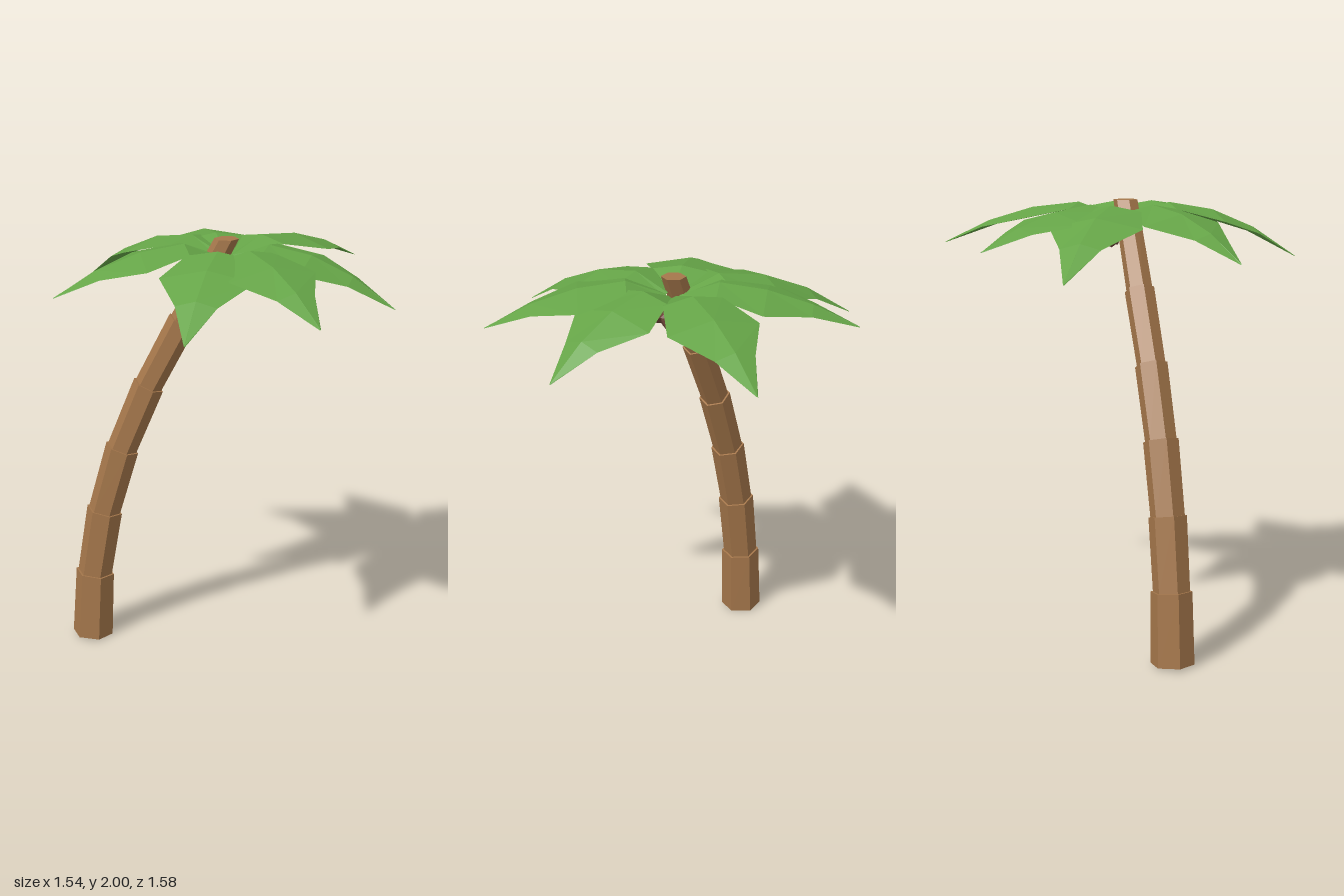
import * as THREE from 'three';

const bark = new THREE.MeshStandardMaterial({ color: 0xa5774b, flatShading: true });
bark.name = 'bark brown';
const green = new THREE.MeshStandardMaterial({ color: 0x65a447, flatShading: true, side: THREE.DoubleSide });
green.name = 'leaf green';
const husk = new THREE.MeshStandardMaterial({ color: 0x6e4538, flatShading: true });
husk.name = 'coconut brown';

const HUB_Z = -0.035;

// One six-sided trunk piece between two tilted rings { x, y, tilt, r }
function trunkPiece(low, high) {
  const geo = new THREE.CylinderGeometry(1, 1, 1, 6, 1, false, Math.PI / 2);
  const p = geo.attributes.position;
  for (let i = 0; i < p.count; i++) {
    const ring = p.getY(i) < 0 ? low : high;
    const px = p.getX(i) * ring.r;
    p.setXYZ(i,
      ring.x + px * Math.cos(ring.tilt),
      ring.y - px * Math.sin(ring.tilt),
      HUB_Z + p.getZ(i) * ring.r);
  }
  geo.computeVertexNormals();
  return new THREE.Mesh(geo, bark);
}

// Leaf stations: fraction of length, half width, midrib fall, edge drop
const STATIONS = [
  [0.25, 0.14, 0, 0.025],
  [0.505, 0.212, 0.14, 0.045],
  [0.75, 0.092, 0.47, 0.025],
  [1, 0.002, 1, 0.003],
];

// A ridged leaf that rises from the hub and droops to its tip
function leaf(tipX, tipY, tipZ) {
  const len = Math.hypot(tipX, tipZ - HUB_Z);
  const ux = tipX / len, uz = (tipZ - HUB_Z) / len;
  const point = (along, side, y) => [ux * along - uz * side, y, HUB_Z + uz * along + ux * side];
  const section = (along, half, y, drop) => [
    point(along, -half, y - drop), point(along, 0, y), point(along, half, y - drop)];
  const crown = 1.985;
  const rows = [section(0.03, 0.025, 1.92, 0.01)];
  for (const [t, half, fall, drop] of STATIONS) {
    rows.push(section(t * len, half, crown - (crown - tipY) * fall, drop));
  }
  const verts = [];
  for (let i = 0; i < rows.length - 1; i++) {
    for (let j = 0; j < 2; j++) {
      const a = rows[i][j], b = rows[i][j + 1], c = rows[i + 1][j + 1], d = rows[i + 1][j];
      verts.push(...a, ...b, ...c, ...a, ...c, ...d);
    }
  }
  const geo = new THREE.BufferGeometry();
  geo.setAttribute('position', new THREE.Float32BufferAttribute(verts, 3));
  geo.computeVertexNormals();
  return new THREE.Mesh(geo, green);
}

export function createModel() {
  const model = new THREE.Group();
  model.name = 'palmTree';

  // Trunk: x, y, tilt, radius of the top of the piece below, radius of the bottom of the piece above
  const trunk = new THREE.Group();
  trunk.name = 'trunk';
  const joints = [
    [-0.672, 0.008, 0.06, 0.098, 0.098],
    [-0.653, 0.333, 0.12, 0.093, 0.083],
    [-0.598, 0.658, 0.22, 0.086, 0.077],
    [-0.505, 0.978, 0.33, 0.08, 0.071],
    [-0.373, 1.295, 0.43, 0.074, 0.065],
    [-0.208, 1.61, 0.47, 0.068, 0.06],
    [-0.005, 2.0, 0, 0.056, 0.056],
  ];
  for (let i = 0; i < joints.length - 1; i++) {
    const [x0, y0, t0, , r0] = joints[i];
    const [x1, y1, t1, r1] = joints[i + 1];
    const piece = trunkPiece({ x: x0, y: y0, tilt: t0, r: r0 }, { x: x1, y: y1, tilt: t1, r: r1 });
    piece.name = `trunkSegment${i + 1}`;
    trunk.add(piece);
  }
  model.add(trunk);

  // Leaves, given by their tips
  const leaves = new THREE.Group();
  leaves.name = 'leaves';
  const tips = [
    [-0.34, 1.81, -0.79], [0.515, 1.785, -0.76], [0.765, 1.735, 0.09], [0.49, 1.78, 0.645],
    [-0.055, 1.725, 0.785], [-0.745, 1.765, 0.24], [-0.74, 1.705, -0.54],
  ];
  tips.forEach((tip, i) => {
    const mesh = leaf(...tip);
    mesh.name = `leaf${i + 1}`;
    leaves.add(mesh);
  });
  model.add(leaves);

  // Coconuts hanging under the crown
  const coconuts = new THREE.Group();
  coconuts.name = 'coconuts';
  [[0.075, 1.835, -0.08], [0.065, 1.85, 0.005], [0.0, 1.845, -0.105]].forEach(([x, y, z], i) => {
    const nut = new THREE.Mesh(new THREE.IcosahedronGeometry(0.06, 0), husk);
    nut.name = `coconut${i + 1}`;
    nut.position.set(x, y, z);
    nut.rotation.set(i * 0.8, i * 1.3, 0.3);
    coconuts.add(nut);
  });
  model.add(coconuts);

  return model;
}
